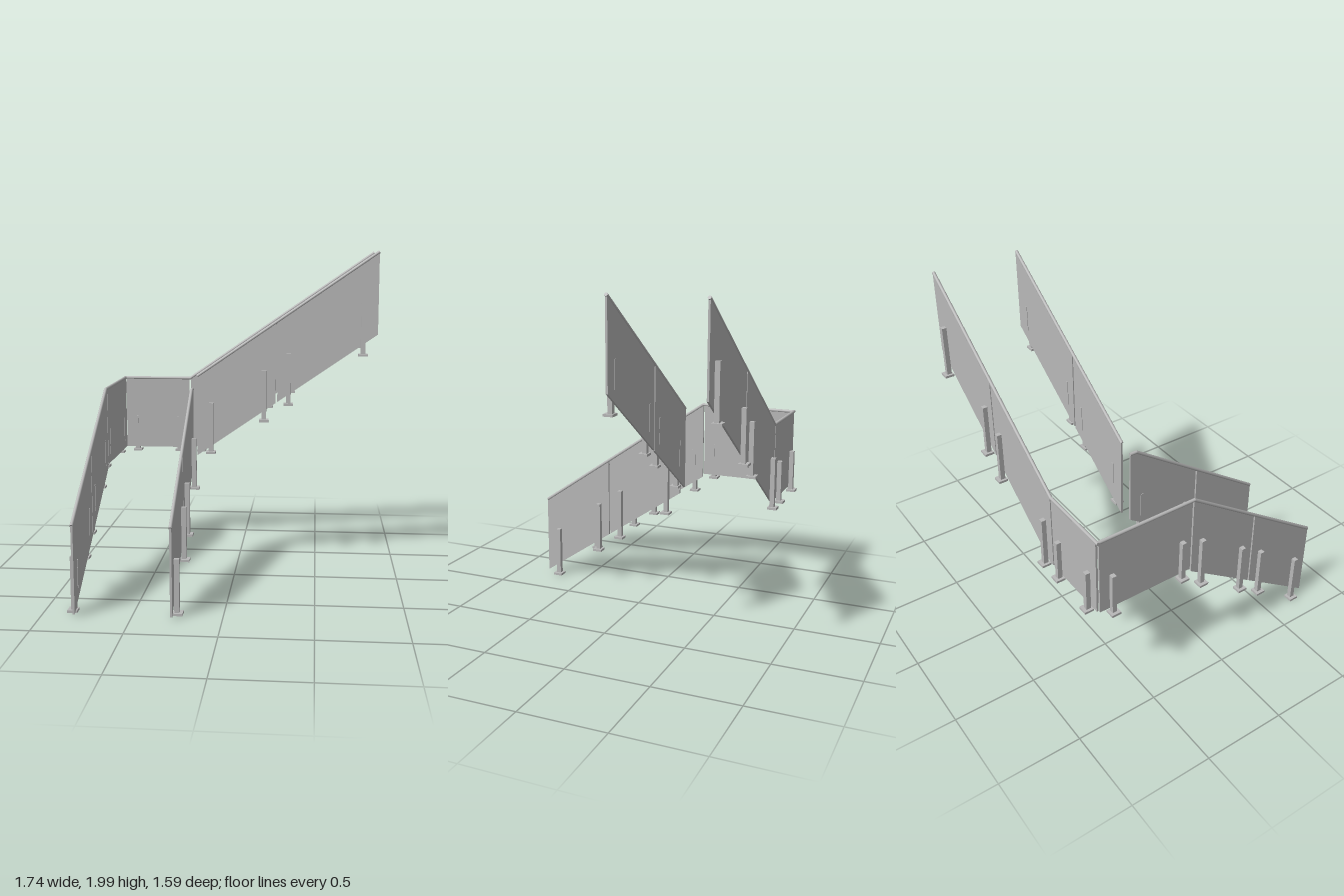
import * as THREE from 'three';

const steel = new THREE.MeshStandardMaterial({ color: 0xb8b8b8 });
steel.name = 'brushed grey';

const RAIL_R = 0.01, PANEL_T = 0.012, LAND_TOP = 1.14, LAND_BOTTOM = 0.66;

function add(group, name, geometry, x = 0, y = 0, z = 0) {
  const mesh = new THREE.Mesh(geometry, steel);
  mesh.name = name;
  mesh.position.set(x, y, z);
  group.add(mesh);
  return mesh;
}

// Thin vertical sheet with the given outline
function panel(group, points) {
  const shape = new THREE.Shape(points.map(([u, v]) => new THREE.Vector2(u, v)));
  const geo = new THREE.ExtrudeGeometry(shape, { depth: PANEL_T, bevelEnabled: false });
  add(group, 'panel', geo, 0, 0, -PANEL_T / 2);
}

// Round handrail through a line of points, with rounded joints
function handrail(group, points) {
  for (let i = 0; i < points.length - 1; i++) {
    const a = new THREE.Vector3(...points[i], 0), b = new THREE.Vector3(...points[i + 1], 0);
    const mid = a.clone().add(b).multiplyScalar(0.5);
    const rod = add(group, 'handrail', new THREE.CylinderGeometry(RAIL_R, RAIL_R, a.distanceTo(b), 16), mid.x, mid.y, 0);
    rod.quaternion.setFromUnitVectors(new THREE.Vector3(0, 1, 0), b.sub(a).normalize());
    if (i > 0) add(group, 'railJoint', new THREE.SphereGeometry(RAIL_R, 16, 10), a.x, a.y, 0);
  }
}

// Post on a foot plate, with a slim clamp strip on the other face of the panel
function post(group, u, base, side, height = 0.32) {
  add(group, 'footPlate', new THREE.BoxGeometry(0.058, 0.014, 0.056), u, base + 0.007, side * 0.025);
  add(group, 'post', new THREE.BoxGeometry(0.028, height - 0.01, 0.028), u, base + 0.01 + (height - 0.01) / 2, side * 0.02);
  add(group, 'clampStrip', new THREE.BoxGeometry(0.02, 0.16, 0.004), u, base + height - 0.1, -side * 0.007);
}

function wall(root, name, { panels, rail, posts, side }) {
  const g = new THREE.Group();
  g.name = name;
  panels.forEach((p) => panel(g, p));
  handrail(g, rail);
  posts.forEach(([u, base, h]) => post(g, u, base, side, h));
  root.add(g);
  return g;
}

export function createModel() {
  const root = new THREE.Group();
  root.name = 'stairBalustrade';

  // Slopes of the upper flight (along x) and lower flight (along z)
  const upTop = (x) => LAND_TOP + (x + 0.365) * 0.687;
  const upBottom = (x) => Math.max(LAND_BOTTOM, 1.485 - (0.865 - x) * 0.69);
  const downTop = (z) => Math.min(LAND_TOP, 0.515 + (0.79 - z) * 0.687);
  const downBottom = (z) => 0.015 + (0.79 - z) * 0.68;
  const sheet = (a, b, bottom, top, kinks = []) => [
    [a, bottom(a)], ...kinks.filter((k) => k[2] === 'bottom').map((k) => [k[0], k[1]]),
    [b, bottom(b)], [b, top(b)],
    ...kinks.filter((k) => k[2] === 'top').map((k) => [k[0], k[1]]), [a, top(a)],
  ];
  const flat = (a, b) => sheet(a, b, () => LAND_BOTTOM, () => LAND_TOP);

  const upPosts = [[0.17, 0.94], [0.322, 1.045], [0.775, 1.355]];
  const downPosts = [[0.245, 0.318], [0.4, 0.212], [0.7, 0]];

  // Upper flight, outer side, with its part of the landing
  const outerUpper = wall(root, 'outerUpperWall', {
    side: -1,
    panels: [
      flat(-0.808, -0.372),
      sheet(-0.362, 0.242, upBottom, upTop, [[-0.33, LAND_BOTTOM, 'bottom']]),
      sheet(0.252, 0.865, upBottom, upTop),
    ],
    rail: [[-0.826, LAND_TOP], [-0.365, LAND_TOP], [0.865, upTop(0.865)]],
    posts: [[-0.737, 0.63, 0.265], [-0.445, 0.63, 0.265], [-0.292, 0.63], ...upPosts],
  });
  outerUpper.position.z = -0.742;

  // Upper flight, inner side
  const innerUpper = wall(root, 'innerUpperWall', {
    side: 1,
    panels: [sheet(-0.25, 0.242, upBottom, upTop), sheet(0.252, 0.865, upBottom, upTop)],
    rail: [[-0.25, upTop(-0.25)], [0.865, upTop(0.865)]],
    posts: [[-0.162, 0.733], ...upPosts],
  });
  innerUpper.position.z = -0.202;

  // Lower flight, outer side, with its part of the landing
  const outerLower = wall(root, 'outerLowerWall', {
    side: 1,
    panels: [
      flat(-0.736, -0.135),
      sheet(-0.125, 0.323, downBottom, downTop, [[-0.12, LAND_TOP, 'top']]),
      sheet(0.333, 0.79, downBottom, downTop),
    ],
    rail: [[-0.742, LAND_TOP], [-0.12, LAND_TOP], [0.79, downTop(0.79)]],
    posts: [[-0.66, 0.63, 0.265], [-0.2, 0.63, 0.265], [-0.06, 0.525], ...downPosts],
  });
  outerLower.position.x = -0.816;
  outerLower.rotation.y = -Math.PI / 2;

  // Lower flight, inner side
  const innerLower = wall(root, 'innerLowerWall', {
    side: -1,
    panels: [
      sheet(-0.165, 0.323, downBottom, downTop, [[-0.12, LAND_TOP, 'top']]),
      sheet(0.333, 0.79, downBottom, downTop),
    ],
    rail: [[-0.165, LAND_TOP], [-0.12, LAND_TOP], [0.79, downTop(0.79)]],
    posts: [[-0.08, 0.525], ...downPosts],
  });
  innerLower.position.x = -0.277;
  innerLower.rotation.y = -Math.PI / 2;

  return root;
}
